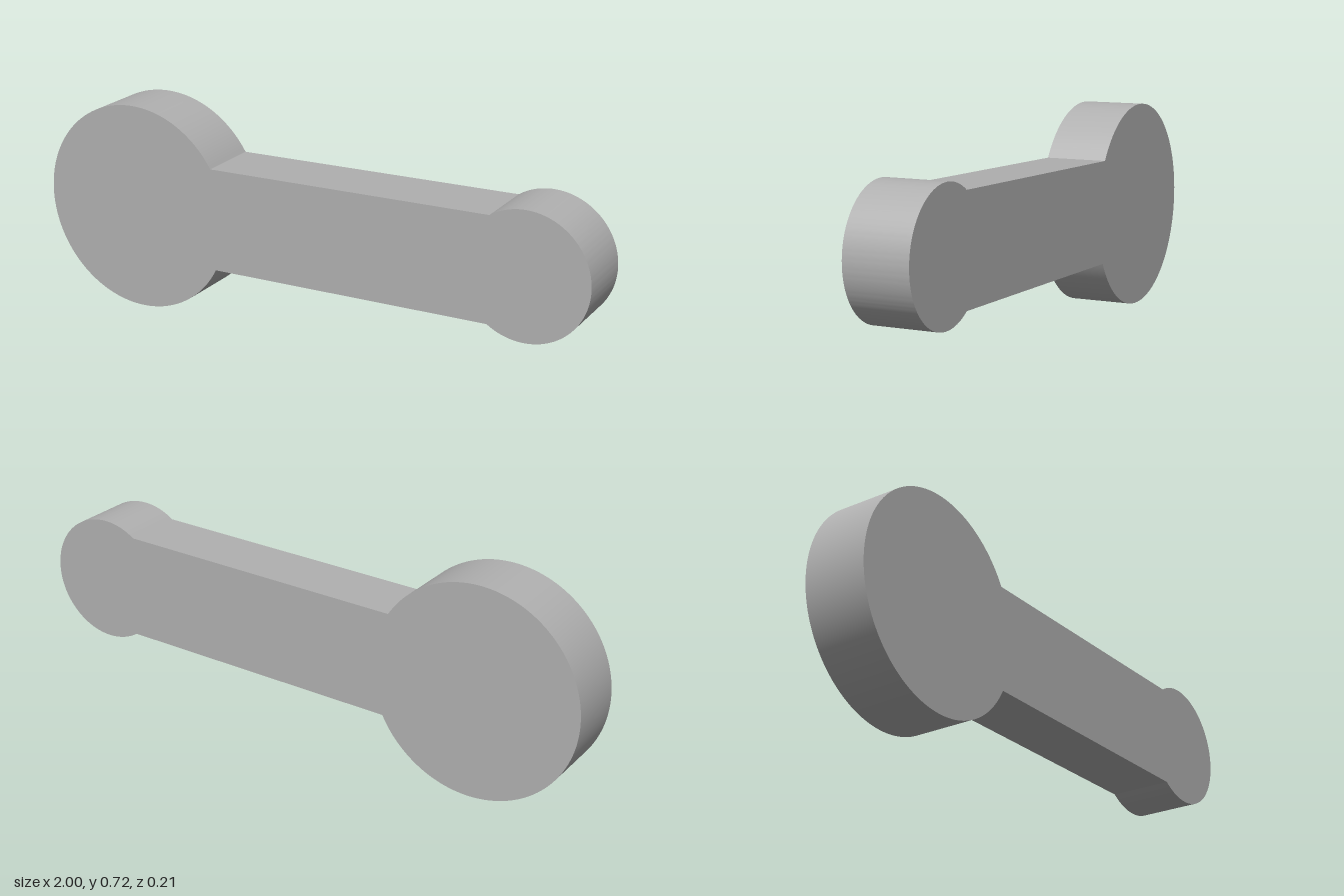
import * as THREE from 'three';
import { toCreasedNormals } from 'three/addons/utils/BufferGeometryUtils.js';

const DEPTH = 0.214;
const BIG = { x: -0.642, y: 0.358, r: 0.358 };
const SMALL = { x: 0.786, y: 0.401, r: 0.214 };

// Angle on a disc's rim at height y, on its right (+1) or left (-1) side
const rimAngle = (disc, y, side) => {
  const dy = y - disc.y;
  return Math.atan2(dy, side * Math.sqrt(disc.r ** 2 - dy ** 2));
};

export function createModel() {
  const group = new THREE.Group();
  group.name = 'linkArm';

  const grey = new THREE.MeshStandardMaterial({ color: 0xb0b0b0 });
  grey.name = 'grey';

  // Outline: large disc, slightly sloping bar, small disc
  const outline = new THREE.Shape();
  outline.absarc(BIG.x, BIG.y, BIG.r, rimAngle(BIG, 0.547, 1), rimAngle(BIG, 0.193, 1) + Math.PI * 2, false);
  outline.absarc(SMALL.x, SMALL.y, SMALL.r, rimAngle(SMALL, 0.222, -1), rimAngle(SMALL, 0.577, -1), false);
  outline.closePath();

  // One solid plate, smooth round the rims and sharp at the edges
  const plate = new THREE.ExtrudeGeometry(outline, { depth: DEPTH, bevelEnabled: false, curveSegments: 64 });
  plate.translate(0, 0, -DEPTH / 2);
  const arm = new THREE.Mesh(toCreasedNormals(plate, 0.4), grey);
  arm.name = 'armPlate';
  group.add(arm);

  return group;
}
